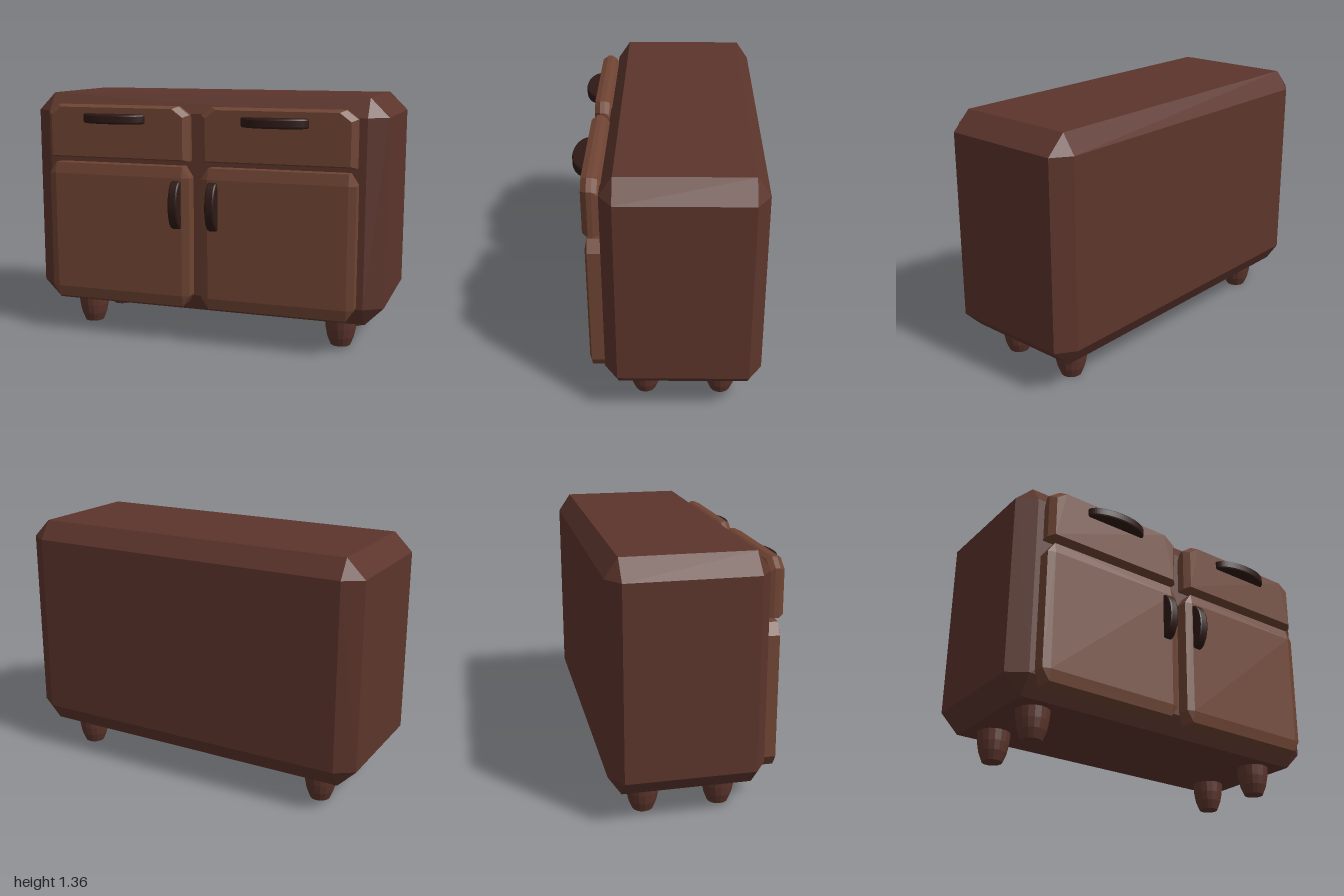
import * as THREE from 'three';
import { ConvexGeometry } from 'three/addons/geometries/ConvexGeometry.js';

const paint = (color) => new THREE.MeshStandardMaterial({ color, flatShading: true });
const bodyMat = paint(0x5c352c);
const frontMat = paint(0x6f4433);
const handleMat = paint(0x2e1a16);
const legMat = paint(0x5c352c);

// Box with every edge chamfered by its own amount per axis
function chamferBox(min, max, bevel) {
  const pts = [];
  for (let axis = 0; axis < 3; axis++) {
    for (let corner = 0; corner < 8; corner++) {
      const c = [0, 1, 2].map((i) => {
        const inset = i === axis ? 0 : bevel[i];
        return corner & (1 << i) ? max[i] - inset : min[i] + inset;
      });
      pts.push(new THREE.Vector3(...c));
    }
  }
  return new ConvexGeometry(pts);
}

// Drawer front: sections [z, side inset, bottom, top], with cut top corners
function drawerGeometry(x0, x1) {
  const sections = [
    [0.30, 0.015, 1.02, 1.245],
    [0.33, 0.01, 1.02, 1.29],
    [0.355, 0, 1.01, 1.303],
    [0.38, 0, 1.01, 1.303],
    [0.41, 0.03, 1.02, 1.29],
  ];
  const pts = [];
  for (const [z, inset, bottom, top] of sections) {
    for (const [x, s] of [[x0 + inset, 1], [x1 - inset, -1]]) {
      pts.push(
        new THREE.Vector3(x, bottom, z),
        new THREE.Vector3(x, top - 0.045, z),
        new THREE.Vector3(x + s * 0.06, top, z)
      );
    }
  }
  return new ConvexGeometry(pts);
}

// Half-oval pull lying in the xz plane, with its flat side at z = 0
function handleGeometry(length, depth, thickness) {
  const b = 0.01;
  const shape = new THREE.Shape();
  shape.absellipse(0, 0, length / 2 - b, depth - b, 0, Math.PI, false);
  shape.closePath();
  const geo = new THREE.ExtrudeGeometry(shape, {
    depth: thickness - 2 * b, bevelEnabled: true, bevelSize: b,
    bevelThickness: b, bevelSegments: 2, curveSegments: 20,
  });
  geo.translate(0, 0, -(thickness - 2 * b) / 2);
  geo.rotateX(Math.PI / 2);
  return geo;
}

export function createModel() {
  const group = new THREE.Group();
  const add = (name, geo, mat, x = 0, y = 0, z = 0) => {
    const mesh = new THREE.Mesh(geo, mat);
    mesh.name = name;
    mesh.position.set(x, y, z);
    group.add(mesh);
    return mesh;
  };

  // Cabinet
  add('cabinetBody', chamferBox([-1, 0.16, -0.483], [1, 1.36, 0.32], [0.1, 0.1, 0.068]), bodyMat);

  // Two bays, each with a door below and a drawer above
  const bays = [
    { side: 'right', x0: -0.87, x1: -0.037, doorPull: -0.108, drawerPull: -0.463 },
    { side: 'left', x0: 0.03, x1: 0.865, doorPull: 0.1, drawerPull: 0.437 },
  ];
  const drawerPull = handleGeometry(0.365, 0.083, 0.052);
  const doorPull = handleGeometry(0.265, 0.075, 0.054);
  for (const { side, x0, x1, doorPull: dx, drawerPull: wx } of bays) {
    add(side + 'Door', chamferBox([x0, 0.21, 0.2], [x1, 0.98, 0.403], [0.04, 0.06, 0.013]), frontMat);
    add(side + 'Drawer', drawerGeometry(x0, x1), frontMat);
    add(side + 'DrawerHandle', drawerPull, handleMat, wx, 1.232, 0.4);
    add(side + 'DoorHandle', doorPull, handleMat, dx, 0.775, 0.393).rotation.z = Math.PI / 2;
  }

  // Tapered, slightly bulging feet
  const profile = [[0, 0], [0.054, 0], [0.074, 0.05], [0.084, 0.1], [0.09, 0.165], [0, 0.165]];
  const leg = new THREE.LatheGeometry(profile.map(([r, y]) => new THREE.Vector2(r, y)), 16);
  for (const x of [-0.752, 0.748]) {
    for (const z of [0.118, -0.282]) {
      add((z > 0 ? 'front' : 'back') + (x > 0 ? 'Left' : 'Right') + 'Leg', leg, legMat, x, 0, z);
    }
  }
  return group;
}
